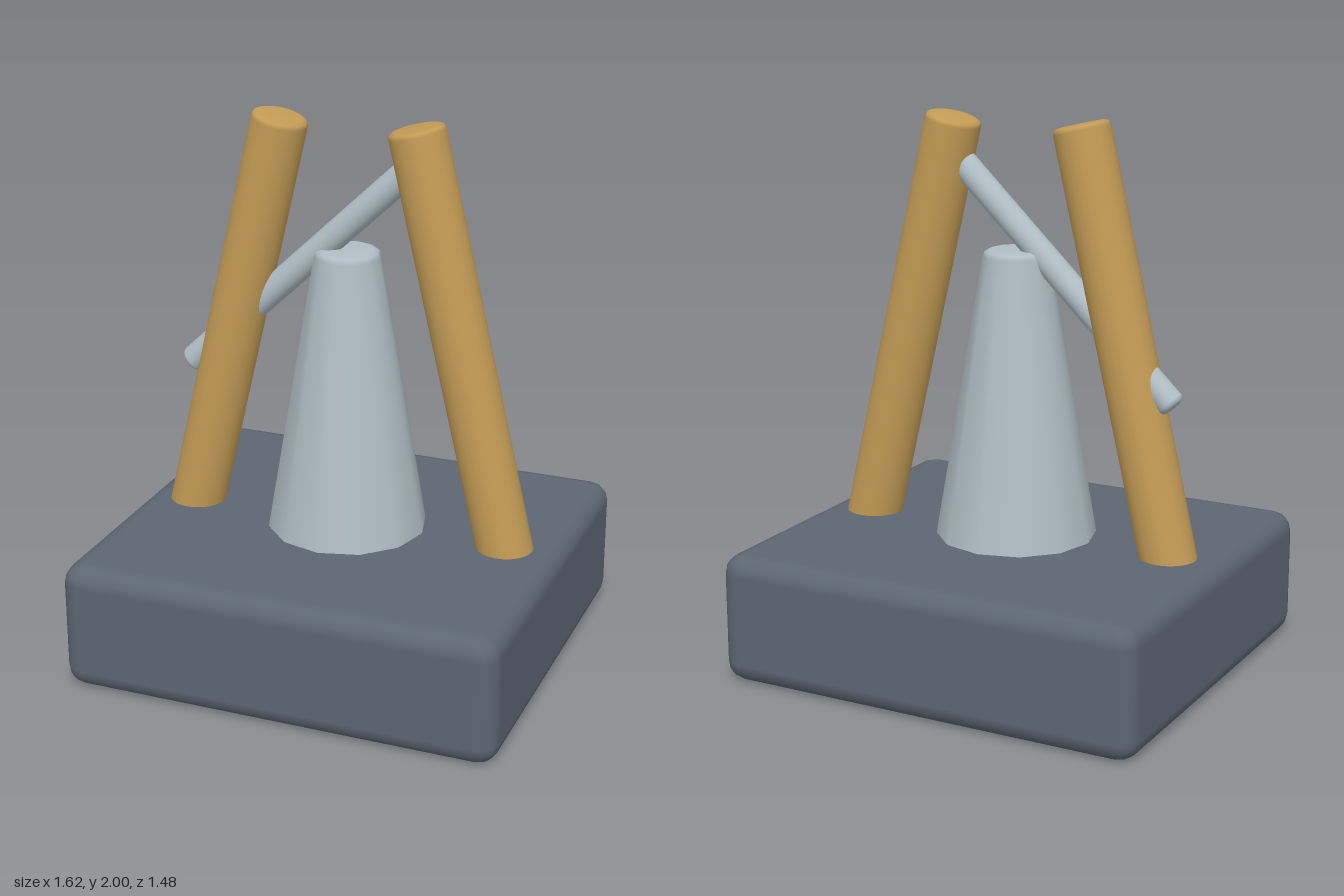
import * as THREE from 'three';
import { RoundedBoxGeometry } from 'three/addons/geometries/RoundedBoxGeometry.js';

const slate = new THREE.MeshStandardMaterial({ color: 0x5c6672 });
slate.name = 'slate';
const wood = new THREE.MeshStandardMaterial({ color: 0xc49c56 });
wood.name = 'wood';
const steel = new THREE.MeshStandardMaterial({ color: 0xb0bec5 });
steel.name = 'steel';

// Closed round bar along y with softened ends, radius r0 at the bottom and r1 at the top
function roundBar(r0, r1, length, bevel, sides) {
  const h = length / 2, b = bevel, k = b * 0.3;
  const profile = [
    [0, -h], [r0 - b, -h], [r0 - k, -h + k], [r0, -h + b],
    [r1, h - b], [r1 - k, h - k], [r1 - b, h], [0, h],
  ].map(([x, y]) => new THREE.Vector2(x, y));
  return new THREE.LatheGeometry(profile, sides);
}

// Straight bar from one point to another
function barBetween(name, from, to, radius, bevel, sides, material) {
  const a = new THREE.Vector3(...from), b = new THREE.Vector3(...to);
  const mesh = new THREE.Mesh(roundBar(radius, radius, a.distanceTo(b), bevel, sides), material);
  mesh.name = name;
  mesh.position.copy(a).add(b).multiplyScalar(0.5);
  mesh.quaternion.setFromUnitVectors(new THREE.Vector3(0, 1, 0), b.sub(a).normalize());
  return mesh;
}

export function createModel() {
  const model = new THREE.Group();
  model.name = 'model';

  // Heavy block with rounded edges
  const base = new THREE.Mesh(new RoundedBoxGeometry(1.62, 0.475, 1.475, 2, 0.075), slate);
  base.name = 'base';
  base.position.y = 0.2375;
  model.add(base);

  // Tapered centre post, sunk slightly into the block
  const post = new THREE.Mesh(roundBar(0.296, 0.12, 1.1, 0.025, 12), steel);
  post.name = 'centrePost';
  post.position.y = 0.975;
  model.add(post);

  // Two leaning wooden posts
  for (const [name, s] of [['leftPost', 1], ['rightPost', -1]]) {
    model.add(barBetween(name, [s * 0.646, 0.3, 0], [s * 0.25, 1.982, 0], 0.102, 0.02, 24, wood));
  }

  // Slanted rod through the right post, ending inside the left one
  model.add(barBetween('crossRod', [-0.617, 1.022, 0], [0.25, 1.852, 0], 0.05, 0.018, 20, steel));

  return model;
}
